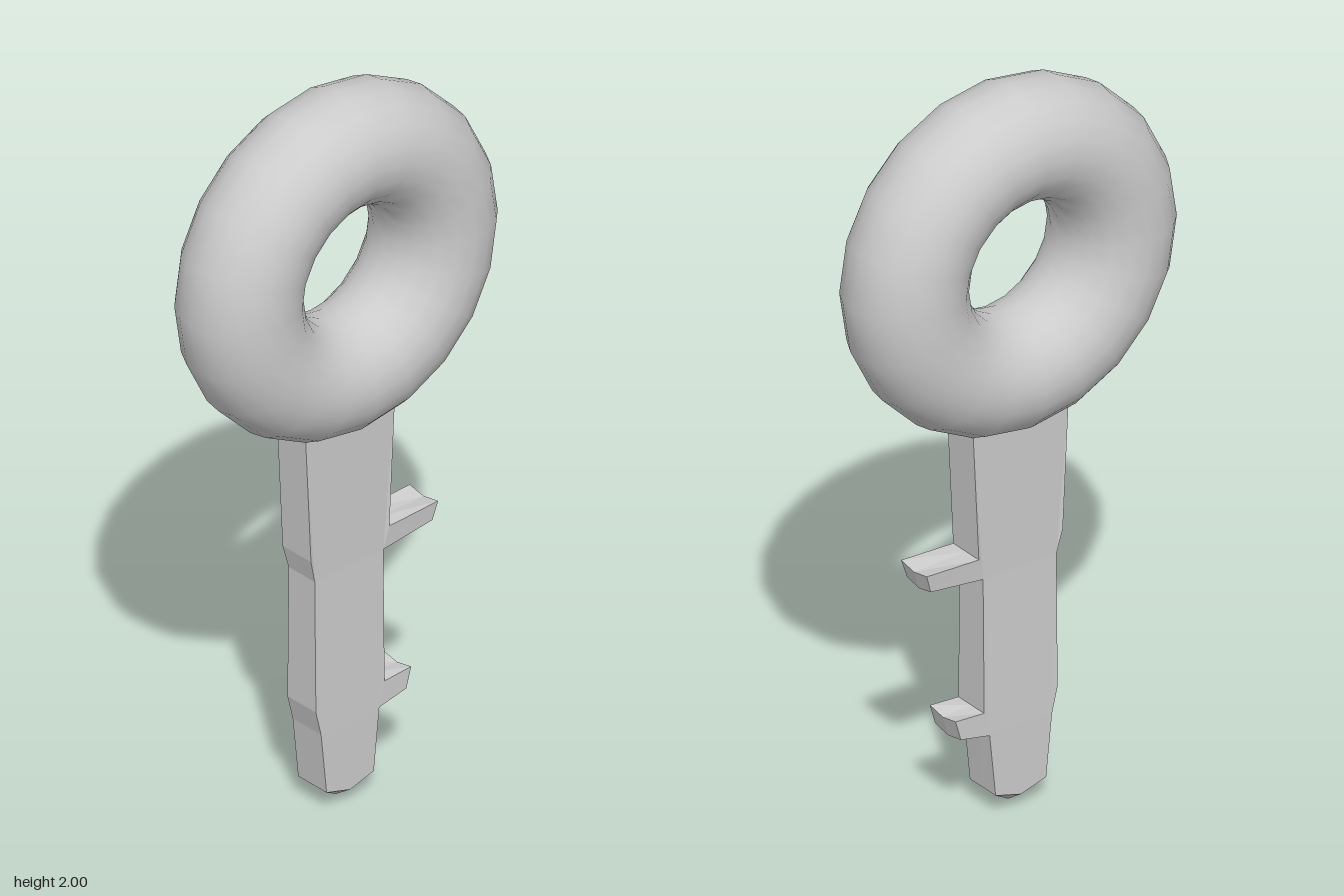
import * as THREE from 'three';

// Key outline as [z, y], down the plain front edge and up the toothed back edge
const OUTLINE = [
  [0.15, 1.16], [0.145, 1.08], [0.128, 0.735], [0.112, 0.67], [0.112, 0.3], [0.095, 0.23], [0.077, 0.058],
  [0, 0.036],
  [-0.077, 0.058], [-0.095, 0.232], [-0.183, 0.25], [-0.199, 0.306], [-0.112, 0.3],
  [-0.112, 0.673], [-0.272, 0.692], [-0.287, 0.742], [-0.128, 0.735], [-0.145, 1.08], [-0.15, 1.16],
];
const HALF_WIDTH = 0.052;

function bladeGeometry() {
  const shape = new THREE.Shape(OUTLINE.map(([z, y]) => new THREE.Vector2(z, y)));
  const geo = new THREE.ExtrudeGeometry(shape, { depth: 2 * HALF_WIDTH, steps: 2, bevelEnabled: false });
  geo.translate(0, 0, -HALF_WIDTH);
  geo.rotateY(-Math.PI / 2);

  const p = geo.attributes.position;
  const near = (a, b) => Math.abs(a - b) < 0.002;
  for (let i = 0; i < p.count; i++) {
    const x = p.getX(i), y = p.getY(i), z = p.getZ(i);
    if (Math.abs(x) < 0.001) {
      // middle row: pointed tip and slightly sagging teeth
      if (near(y, 0.036)) p.setY(i, 0);
      else if (z < -0.16 || (z < 0 && (near(y, 0.673) || near(y, 0.232)))) p.setY(i, y - 0.01);
    } else if (y > 0.6 && y < 0.7) {
      // slight waist under the upper tooth
      p.setX(i, x * 0.92);
    }
  }
  geo.computeVertexNormals();
  return geo;
}

export function createModel() {
  const group = new THREE.Group();
  group.name = 'key';

  // Ring handle, its hole facing sideways
  const ring = new THREE.Mesh(
    new THREE.TorusGeometry(0.317, 0.158, 20, 20),
    new THREE.MeshStandardMaterial({ color: 0xcccccc })
  );
  ring.name = 'ringHandle';
  ring.rotation.y = Math.PI / 2;
  ring.position.y = 1.525;
  group.add(ring);

  // Tapered blade with two teeth
  const blade = new THREE.Mesh(
    bladeGeometry(),
    new THREE.MeshStandardMaterial({ color: 0xcccccc, flatShading: true })
  );
  blade.name = 'toothedBlade';
  group.add(blade);

  return group;
}
